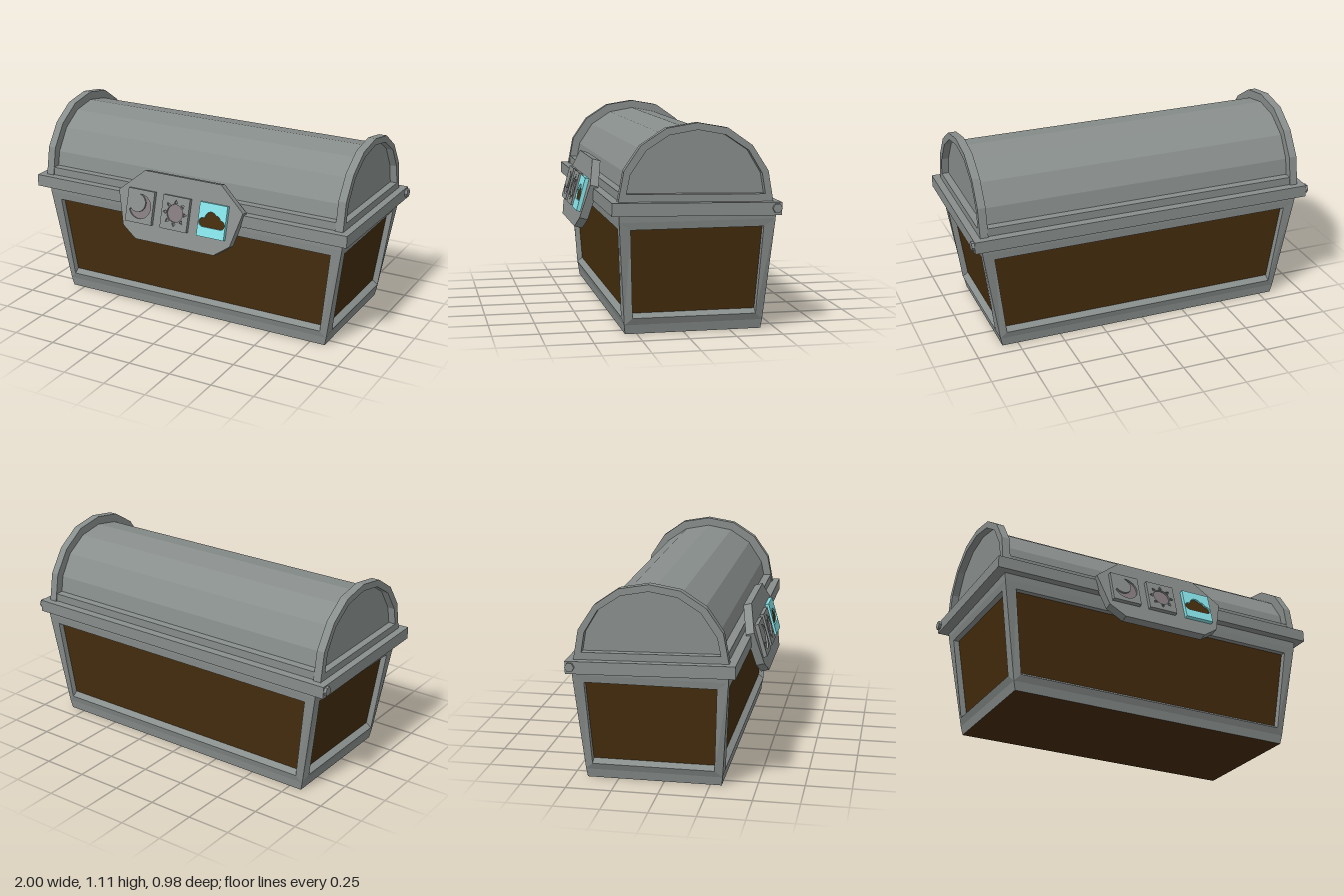
import * as THREE from 'three';

const paint = (color) => new THREE.MeshStandardMaterial({ color, flatShading: true });

export function createModel() {
  const root = new THREE.Group();
  const grey = paint(0x888e8c), brown = paint(0x452d0d), teal = paint(0x86e3e8), mauve = paint(0x847a7d);
  const CX = 0.008, CZ = -0.055; // body centre

  const add = (name, geometry, material, parent = root) => {
    const mesh = new THREE.Mesh(geometry, material);
    mesh.name = name;
    parent.add(mesh);
    return mesh;
  };
  const box = (name, w, h, d, x, y, z) => {
    const mesh = add(name, new THREE.BoxGeometry(w, h, d), grey);
    mesh.position.set(x, y, z);
    return mesh;
  };
  const fromQuads = (quads) => {
    const pos = [];
    for (const [a, b, c, d] of quads) for (const p of [a, b, c, a, c, d]) pos.push(...p);
    const g = new THREE.BufferGeometry();
    g.setAttribute('position', new THREE.Float32BufferAttribute(pos, 3));
    g.computeVertexNormals();
    return g;
  };

  // Tapered body: rings of [y, half width, half depth], four framed sides with recessed panels
  const rings = [[0, 0.831, 0.367], [0.05, 0.842, 0.373], [0.088, 0.859, 0.384],
    [0.565, 0.924, 0.411], [0.605, 0.932, 0.414], [0.645, 0.936, 0.415]];
  const frame = [], panels = [];
  const recess = 0.032;
  for (let s = 0; s < 4; s++) {
    const side = s % 2;
    const along = (i) => rings[i][side ? 2 : 1];
    const out = (i) => rings[i][side ? 1 : 2];
    const angle = s * Math.PI / 2, c = Math.round(Math.cos(angle)), n = Math.round(Math.sin(angle));
    const at = (i, u, depth = 0, dy = 0) => {
      const o = out(i) - depth;
      return [u * c + o * n + CX, rings[i][0] + dy, -u * n + o * c + CZ];
    };
    const lo = along(2) - 0.052, hi = along(3) - 0.058;
    // straight bands at the foot and the top, mitred slopes next to the opening
    for (const i of [0, 4])
      frame.push([at(i, -along(i)), at(i, along(i)), at(i + 1, along(i + 1)), at(i + 1, -along(i + 1))]);
    frame.push([at(1, -along(1)), at(1, along(1)), at(2, lo), at(2, -lo)]);
    frame.push([at(3, -hi), at(3, hi), at(4, along(4)), at(4, -along(4))]);
    // corner posts
    frame.push([at(1, -along(1)), at(2, -lo), at(3, -hi), at(4, -along(4))]);
    frame.push([at(2, lo), at(1, along(1)), at(4, along(4)), at(3, hi)]);
    // reveals of the opening, with a sloping ledge at the bottom
    const L = at(2, -lo, recess, 0.022), R = at(2, lo, recess, 0.022);
    const TL = at(3, -hi, recess), TR = at(3, hi, recess);
    frame.push([at(2, -lo), at(2, lo), R, L], [TL, TR, at(3, hi), at(3, -hi)]);
    frame.push([at(2, -lo), L, TL, at(3, -hi)], [R, at(2, lo), at(3, hi), TR]);
    panels.push([L, R, TR, TL]);
  }
  add('bodyFrame', fromQuads(frame), grey);
  add('bodyPanels', fromQuads(panels), brown);
  const [, bx, bz] = rings[0];
  const floor = add('bodyBottom', new THREE.PlaneGeometry(2 * bx, 2 * bz).rotateX(Math.PI / 2), brown);
  floor.position.set(CX, 0, CZ);

  // Slightly tilted rim between body and lid, with hinge bolts at the back
  const tilt = -0.02;
  box('rim', 1.97, 0.068, 0.894, 0, 0.671, -0.043).rotation.x = tilt;
  for (const x of [-0.98, 0.98]) {
    const bolt = add('hingeBolt', new THREE.CylinderGeometry(0.026, 0.026, 0.04, 6), grey);
    bolt.rotation.z = Math.PI / 2;
    bolt.position.set(x, 0.667, -0.463);
  }

  // Lid profiles as [z, y]
  const outer = [[-0.456, 0.685], [-0.426, 0.858], [-0.34, 0.991], [-0.21, 1.083], [-0.05, 1.112],
    [0.112, 1.086], [0.246, 1.0], [0.334, 0.873], [0.367, 0.7]];
  const inner = [[-0.411, 0.737], [-0.393, 0.844], [-0.32, 0.965], [-0.198, 1.047], [-0.05, 1.075],
    [0.098, 1.05], [0.219, 0.973], [0.302, 0.85], [0.322, 0.752]];
  const barrel = inner.map(([z, y]) => [-0.045 + (z + 0.045) * 0.975, y - 0.01]);
  const vectors = (pts) => pts.map(([z, y]) => new THREE.Vector2(-z, y));
  const extrudeX = (shape, x0, x1) => new THREE.ExtrudeGeometry(shape, { depth: x1 - x0, bevelEnabled: false })
    .translate(0, 0, x0).rotateY(Math.PI / 2);
  const arch = new THREE.Shape(vectors(outer));
  arch.holes.push(new THREE.Path(vectors(inner)));
  const endPanel = new THREE.Shape(vectors(inner));
  add('lidBarrel', extrudeX(new THREE.Shape(vectors(barrel)), -0.9, 0.9), grey);
  add('lidEndArch', extrudeX(arch, 0.9, 0.945), grey);
  add('lidEndArch', extrudeX(arch, -0.945, -0.9), grey);
  add('lidEndPanel', extrudeX(endPanel, 0.9, 0.905), grey);
  add('lidEndPanel', extrudeX(endPanel, -0.905, -0.9), grey);
  box('lidFrontStrip', 1.81, 0.07, 0.06, 0, 0.723, 0.326).rotation.x = tilt;
  box('lidBackStrip', 1.81, 0.07, 0.052, 0, 0.708, -0.418).rotation.x = tilt;

  // Tilted lock plate; local z = 0 is its front face
  const lock = new THREE.Group();
  lock.name = 'lock';
  lock.position.set(-0.013, 0.672, 0.438);
  lock.rotation.x = -0.274;
  root.add(lock);
  const plate = [[-0.25, -0.196], [0.25, -0.196], [0.34, -0.132], [0.395, 0.063], [0.242, 0.196],
    [-0.242, 0.196], [-0.395, 0.063], [-0.34, -0.132]].map(([x, y]) => new THREE.Vector2(x, y));
  add('lockPlate', new THREE.ExtrudeGeometry(new THREE.Shape(plate), { depth: 0.047, bevelEnabled: false })
    .translate(0, 0, -0.047), grey, lock);

  // Cut-out symbols for the three tiles
  const moon = new THREE.Path();
  moon.absarc(0, 0, 0.07, -2.75, 1.6, false);
  moon.absarc(-0.018, 0.018, 0.052, 1.3, -2.45, true);
  const disc = new THREE.Path().absarc(0, 0, 0.05, 0, Math.PI * 2, false);
  const rays = Array.from({ length: 8 }, (_, i) => {
    const a = i * Math.PI / 4;
    const p = (r, d) => new THREE.Vector2(r * Math.cos(a + d), r * Math.sin(a + d));
    return new THREE.Path([p(0.057, -0.2), p(0.076, 0), p(0.057, 0.2)]);
  });
  const cloud = new THREE.Path();
  cloud.moveTo(-0.06, -0.04);
  cloud.lineTo(0.06, -0.04);
  cloud.absarc(0.055, -0.015, 0.025, -1.4, 1.5, false);
  cloud.absarc(0.028, 0.01, 0.022, 0.2, 1.9, false);
  cloud.absarc(-0.008, 0.012, 0.036, 0.6, 2.7, false);
  cloud.absarc(-0.055, -0.015, 0.025, 1.3, 4.5, false);

  const tiles = [['moonTile', -0.235, [moon], grey, mauve], ['sunTile', -0.009, [disc, ...rays], grey, mauve],
    ['cloudTile', 0.225, [cloud], teal, brown]];
  for (const [name, x, holes, face, back] of tiles) {
    const tile = new THREE.Group();
    tile.name = name;
    tile.position.set(x, -0.007, 0);
    lock.add(tile);
    const w = 0.085, h = 0.095;
    const shape = new THREE.Shape([[-w, -h], [w, -h], [w, h], [-w, h]].map(([a, b]) => new THREE.Vector2(a, b)));
    shape.holes.push(...holes);
    add(name + 'Face', new THREE.ExtrudeGeometry(shape, { depth: 0.022, bevelEnabled: false, curveSegments: 10 }), face, tile);
    add(name + 'Symbol', new THREE.PlaneGeometry(w * 1.9, h * 1.9).translate(0, 0, 0.012), back, tile);
  }
  return root;
}
